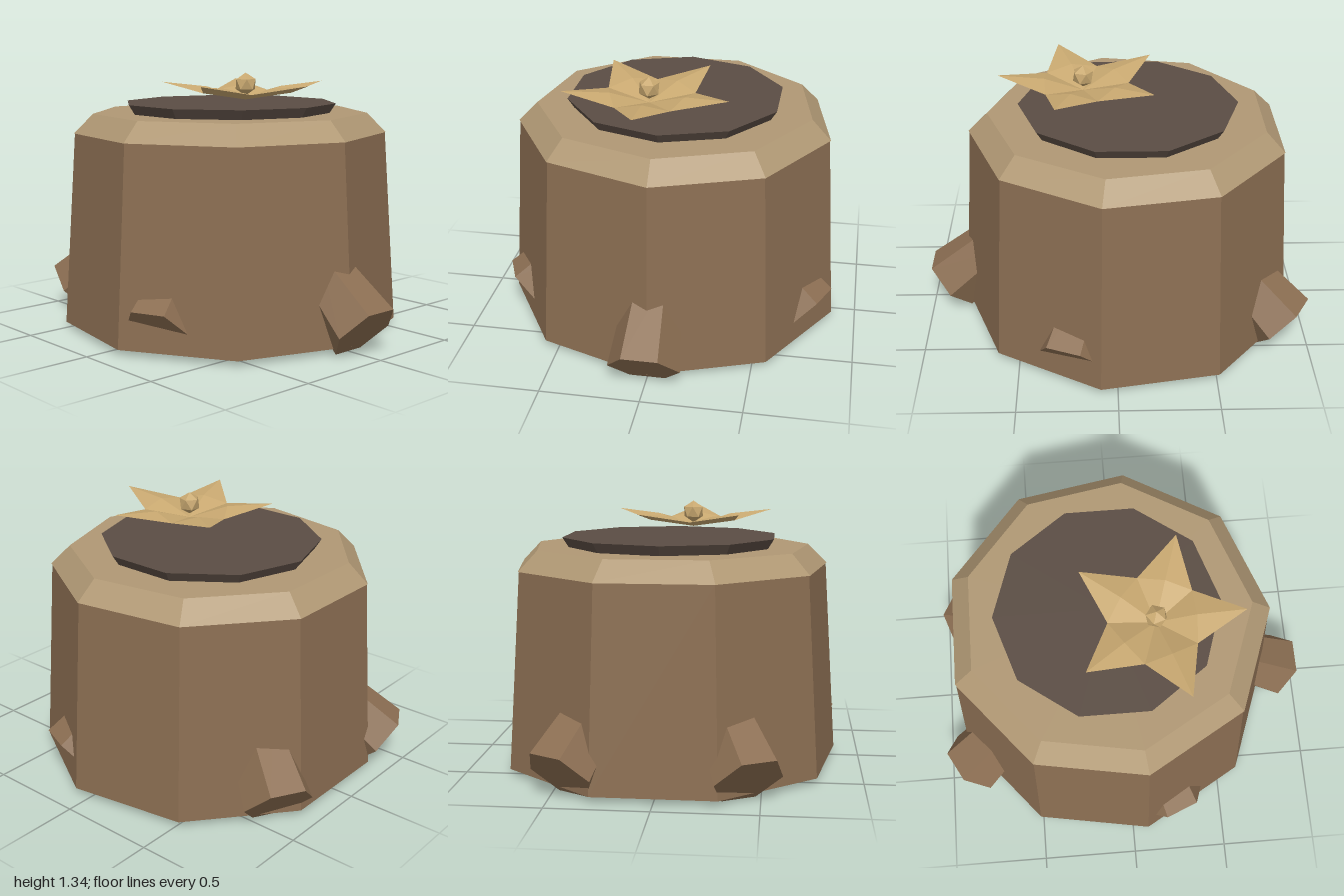
import * as THREE from 'three';

const paint = (name, color, side = THREE.FrontSide) =>
  new THREE.MeshStandardMaterial({ name, color, side, flatShading: true });

export function createModel() {
  const model = new THREE.Group();
  model.name = 'treeStump';
  const bark = paint('bark brown', 0x8b6e52);
  const wood = paint('pale wood', 0xb09874);
  const core = paint('dark heartwood', 0x5b4d44);
  const gold = paint('golden petal', 0xc8a870, THREE.DoubleSide);
  const CX = -0.07; // stump axis

  const add = (name, geometry, material, parent = model) => {
    const mesh = new THREE.Mesh(geometry, material);
    mesh.name = name;
    parent.add(mesh);
    return mesh;
  };

  // Stump layers: polygonal drums with a corner towards +x
  const drum = (name, rTop, rBottom, y0, y1, sides, material) => {
    const g = new THREE.CylinderGeometry(rTop, rBottom, y1 - y0, sides, 1, false, Math.PI / 2);
    add(name, g, material).position.set(CX, (y0 + y1) / 2, 0);
  };
  drum('trunk', 0.82, 0.888, 0.03, 1.03, 9, bark);
  drum('rim', 0.725, 0.825, 1.03, 1.13, 9, wood);
  drum('heartwoodDisc', 0.565, 0.53, 1.125, 1.18, 10, core);

  // Roots: six-sided tapered stubs, leaning outward and down
  const rootGeo = new THREE.CylinderGeometry(0.14, 0.18, 0.42, 6);
  rootGeo.translate(0, 0.21, 0).rotateZ(0.85);
  const root = (x, z, degrees) => {
    const mesh = add('root', rootGeo, bark);
    mesh.position.set(x, 0.12, z);
    mesh.rotation.y = -THREE.MathUtils.degToRad(degrees);
  };
  root(0.895, 0, 0);
  for (const s of [1, -1]) {
    root(0.23, s * 0.74, s * 68);
    root(-0.87, s * 0.445, s * 151);
  }

  // Flower floating above the disc
  const flower = new THREE.Group();
  flower.name = 'flower';
  flower.position.set(0.16, 1.21, 0.1);
  model.add(flower);

  // Petal: centre, two side corners, tip, and a raised middle
  const a = Math.PI / 5, r = 0.235;
  const side = (s) => [r * Math.cos(a), 0.037, s * r * Math.sin(a)];
  const centre = [0, 0, 0], tip = [0.44, 0.085, 0], ridge = [0.2, 0.064, 0];
  const loop = [centre, side(1), tip, side(-1)];
  const points = loop.flatMap((p, i) => [...p, ...loop[(i + 1) % 4], ...ridge]);
  const petalGeo = new THREE.BufferGeometry();
  petalGeo.setAttribute('position', new THREE.Float32BufferAttribute(points, 3));
  petalGeo.computeVertexNormals();
  for (let i = 0; i < 5; i++) {
    add('petal', petalGeo, gold, flower).rotation.y = (i * Math.PI * 2) / 5;
  }

  // Flower bud with one corner pointing straight up
  const budGeo = new THREE.IcosahedronGeometry(0.058, 0);
  budGeo.rotateZ(Math.atan(2 / (1 + Math.sqrt(5))));
  add('bud', budGeo, gold, flower).position.y = 0.078;

  return model;
}
